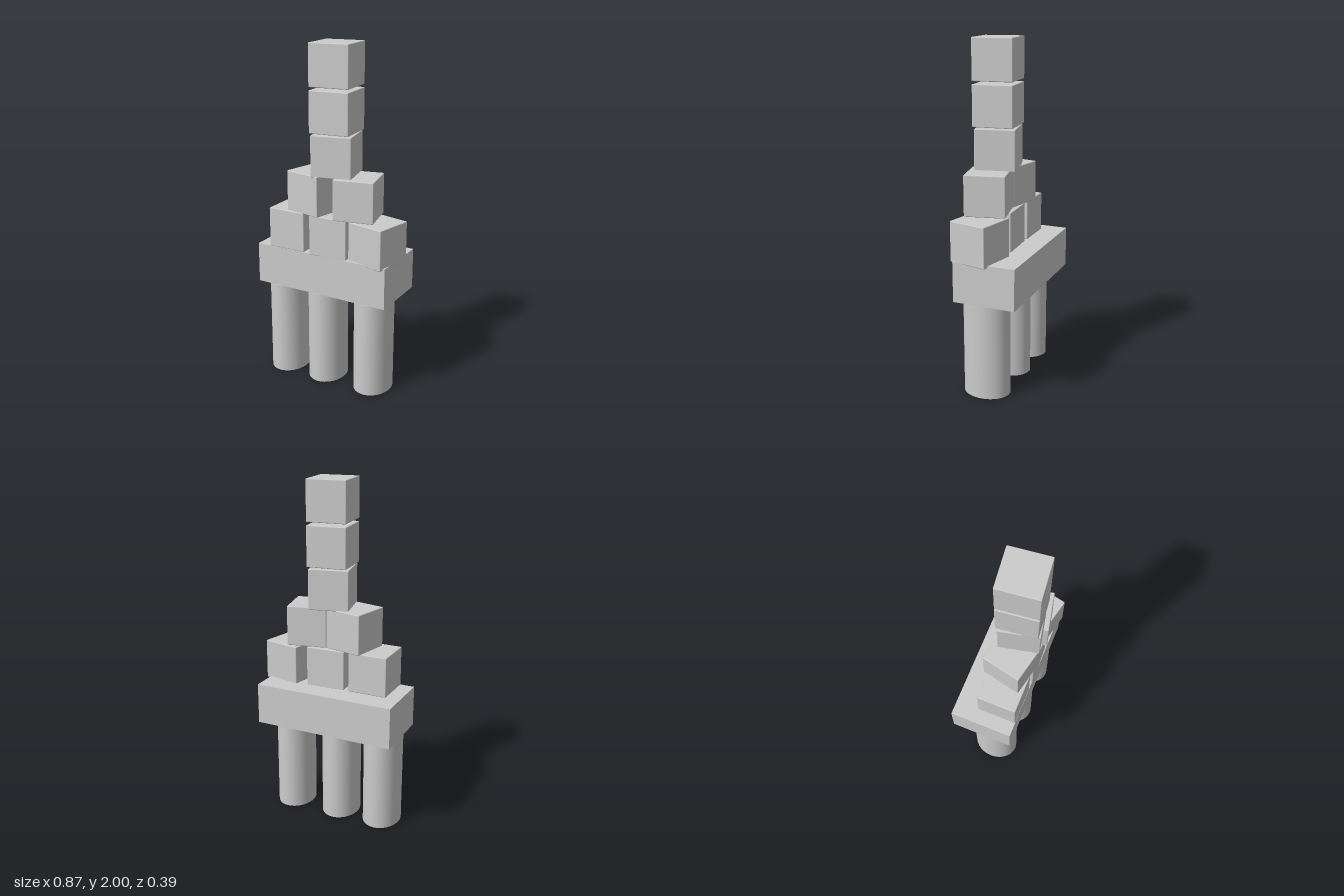
import * as THREE from 'three';
import { RoundedBoxGeometry } from 'three/addons/geometries/RoundedBoxGeometry.js';

export function createModel() {
  const model = new THREE.Group();
  const material = new THREE.MeshStandardMaterial({ color: 0xcccccc });

  function add(name, geometry, x, y, z, turn = 0) {
    const mesh = new THREE.Mesh(geometry, material);
    mesh.name = name;
    mesh.position.set(x, y, z);
    mesh.rotation.y = THREE.MathUtils.degToRad(turn);
    model.add(mesh);
  }

  // Three oval pillars, deeper than they are wide
  const pillar = new THREE.CylinderGeometry(1, 1, 0.568, 48);
  pillar.scale(0.111, 1, 0.137);
  [['right', -0.31], ['middle', -0.04], ['left', 0.267]].forEach(([side, x]) =>
    add(`${side}Pillar`, pillar, x, 0.284, 0.027));

  // Plank resting on the pillars
  add('plank', new THREE.BoxGeometry(0.835, 0.24, 0.368), -0.017, 0.695, -0.012);

  // Stacked blocks with slightly softened edges: name, x, centre height, turn in degrees
  const block = new RoundedBoxGeometry(0.232, 0.234, 0.232, 2, 0.005);
  [
    ['lowerRightBlock', -0.235, 0.932, 0],
    ['lowerMiddleBlock', 0.032, 0.929, 2.5],
    ['lowerLeftBlock', 0.294, 0.92, -12.5],
    ['middleRightBlock', -0.104, 1.163, -12.5],
    ['middleLeftBlock', 0.172, 1.163, 12.5],
    ['upperBlock', 0.033, 1.392, 12.5],
    ['secondTopBlock', 0.033, 1.633, 6.3],
    ['topBlock', 0.033, 1.883, 6.3],
  ].forEach(([name, x, y, turn]) => add(name, block, x, y, 0.055, turn));

  return model;
}
